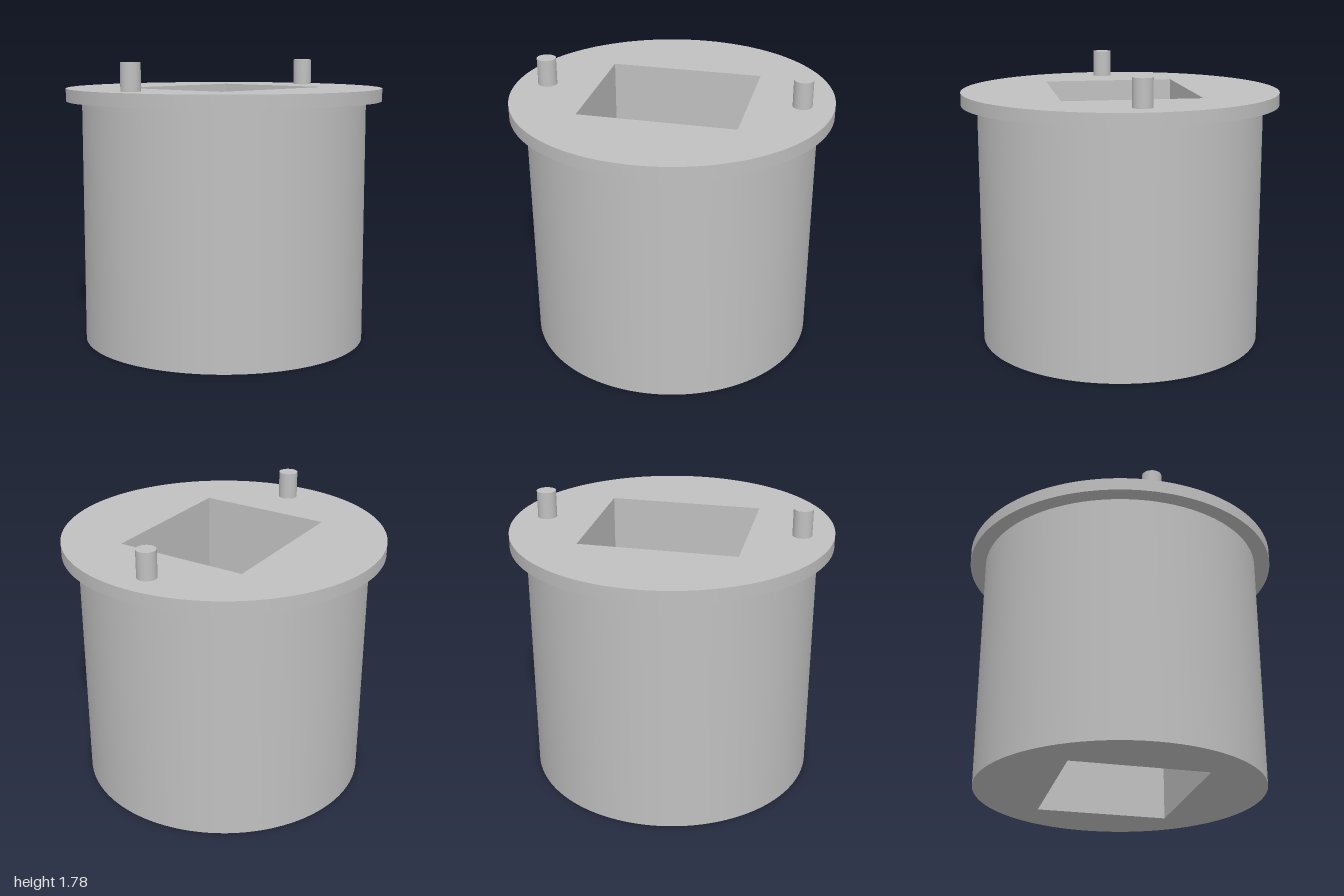
import * as THREE from 'three';
import { toCreasedNormals } from 'three/addons/utils/BufferGeometryUtils.js';

const HOLE_X = 0.485, HOLE_Z = 0.425;
const BODY_TOP = 1.53, FLANGE_TOP = 1.61, PIN_TOP = 1.78;

// Upright disc with a rectangular opening through its full height
function holedDisc(radius, bottom, top) {
  const shape = new THREE.Shape().absarc(0, 0, radius, 0, Math.PI * 2, false);
  const hole = new THREE.Path();
  hole.moveTo(-HOLE_X, -HOLE_Z);
  hole.lineTo(-HOLE_X, HOLE_Z);
  hole.lineTo(HOLE_X, HOLE_Z);
  hole.lineTo(HOLE_X, -HOLE_Z);
  hole.closePath();
  shape.holes.push(hole);
  const geometry = new THREE.ExtrudeGeometry(shape, {
    depth: top - bottom, bevelEnabled: false, curveSegments: 96,
  });
  geometry.rotateX(-Math.PI / 2).translate(0, bottom, 0);
  return toCreasedNormals(geometry, 0.5);
}

export function createModel() {
  const model = new THREE.Group();
  model.name = 'flangedSleeve';
  const grey = new THREE.MeshStandardMaterial({ color: 0xc0c0c0 });
  grey.name = 'grey';

  const add = (name, geometry) => {
    const mesh = new THREE.Mesh(geometry, grey);
    mesh.name = name;
    model.add(mesh);
    return mesh;
  };

  // Cylindrical body and its wider rim
  add('body', holedDisc(0.9, 0, BODY_TOP));
  add('flange', holedDisc(1, BODY_TOP, FLANGE_TOP));

  // Locating pins on either side of the opening
  const pinGeometry = new THREE.CylinderGeometry(0.06, 0.06, PIN_TOP - FLANGE_TOP, 48);
  for (const [name, side] of [['leftPin', 1], ['rightPin', -1]]) {
    add(name, pinGeometry).position.set(side * 0.805, (PIN_TOP + FLANGE_TOP) / 2, 0);
  }
  return model;
}
